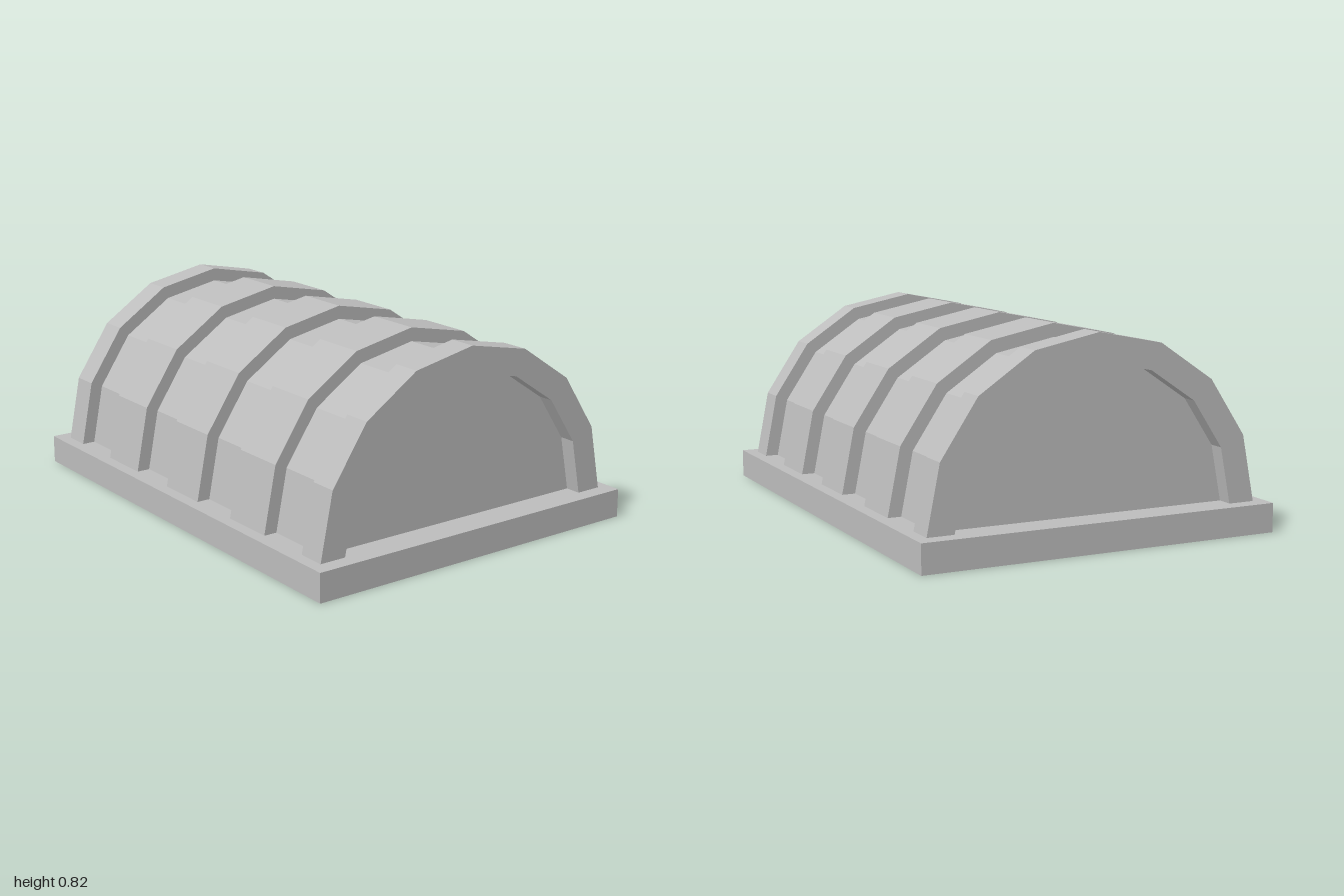
import * as THREE from 'three';

const BASE_H = 0.117;   // plinth height and arch springing line
const INNER_R = 0.59;   // inside of the vault
const SHELL_R = 0.645;  // outside of the vault
const RIB_R = 0.7;      // outside of the ribs
const SIDES = 8;        // facets per half circle

const grey = new THREE.MeshStandardMaterial({ color: 0xbcbcbc });
grey.name = 'stone grey';

// Points of a faceted half circle from +x over the top to -x
function arc(r) {
  const pts = [];
  for (let i = 0; i <= SIDES; i++) {
    const a = (Math.PI * i) / SIDES;
    pts.push(new THREE.Vector2(r * Math.cos(a), BASE_H + r * Math.sin(a)));
  }
  return pts;
}

// Extrudes an outline along z from z0 to z1
function extrudeZ(name, shape, z0, z1) {
  const geo = new THREE.ExtrudeGeometry(shape, { depth: z1 - z0, bevelEnabled: false });
  geo.translate(0, 0, z0);
  const mesh = new THREE.Mesh(geo, grey);
  mesh.name = name;
  return mesh;
}

// Half ring between two radii
const archShape = (outer, inner) => new THREE.Shape([...arc(outer), ...arc(inner).reverse()]);

const rectangle = (x, z) => [[-x, -z], [x, -z], [x, z], [-x, z]].map(([a, b]) => new THREE.Vector2(a, b));

export function createModel() {
  const group = new THREE.Group();
  group.name = 'ribbedHut';

  // Rectangular plinth frame, open to the hollow inside
  const frame = new THREE.Shape(rectangle(0.75, 1));
  frame.holes.push(new THREE.Path(rectangle(INNER_R, 0.8)));
  const baseGeo = new THREE.ExtrudeGeometry(frame, { depth: BASE_H, bevelEnabled: false });
  baseGeo.rotateX(-Math.PI / 2);
  const base = new THREE.Mesh(baseGeo, grey);
  base.name = 'baseFrame';
  group.add(base);

  // Vault between the end ribs
  group.add(extrudeZ('vaultShell', archShape(SHELL_R, INNER_R), -0.82, 0.82));

  // Three raised middle ribs
  for (const z of [-0.465, 0, 0.465]) {
    group.add(extrudeZ('middleRib', archShape(RIB_R, SHELL_R), z - 0.116, z + 0.116));
  }

  // End ribs with recessed end walls
  const wall = new THREE.Shape(arc(INNER_R));
  for (const [side, s] of [['front', 1], ['back', -1]]) {
    const span = (a, b) => (s > 0 ? [a, b] : [-b, -a]);
    group.add(extrudeZ(side + 'EndRib', archShape(RIB_R, INNER_R), ...span(0.82, 0.935)));
    group.add(extrudeZ(side + 'EndWall', wall, ...span(0.8, 0.87)));
  }

  return group;
}
